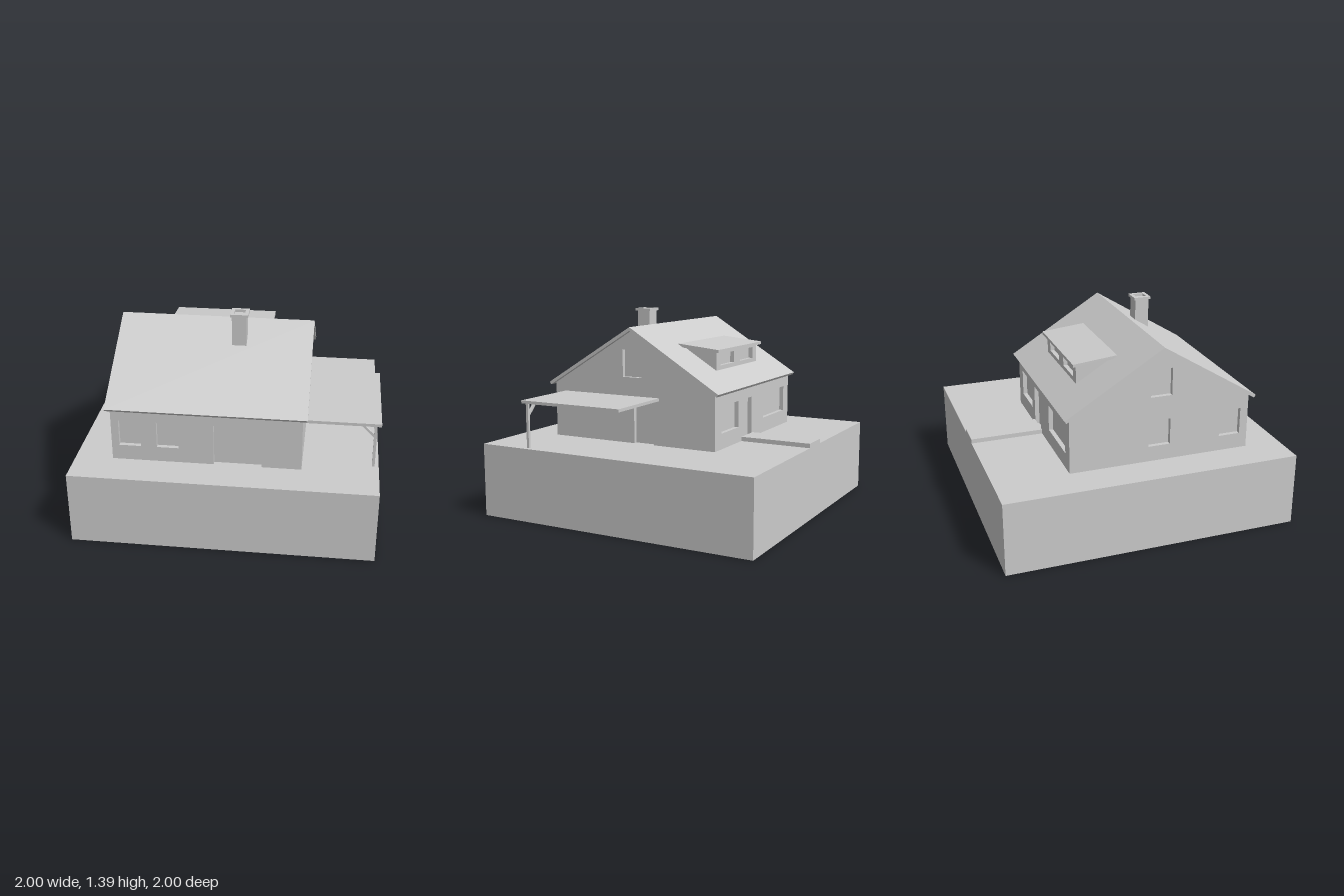
import * as THREE from 'three';

const grey = new THREE.MeshStandardMaterial({ color: 0xcccccc, flatShading: true, side: THREE.DoubleSide });
const GROUND = 0.5, EAVE = 0.879, PEAK = 1.265, RIDGE_Z = 0.125;
const SLOPE = 0.617, RECESS = 0.03;
const HOUSE = { x0: -0.75, x1: 0.5, z0: -0.5, z1: 0.75 };

function mesh(name, geometry) {
  const m = new THREE.Mesh(geometry, grey);
  m.name = name;
  return m;
}

// Box given by its limits
function block(name, x0, x1, y0, y1, z0, z1) {
  const g = new THREE.BoxGeometry(x1 - x0, y1 - y0, z1 - z0);
  g.translate((x0 + x1) / 2, (y0 + y1) / 2, (z0 + z1) / 2);
  return mesh(name, g);
}

// Box without some faces (order: +x, -x, +y, -y, +z, -z)
function openBox(w, h, d, dropped) {
  const g = new THREE.BoxGeometry(w, h, d);
  const index = Array.from(g.index.array).filter((_, i) => !dropped.includes(Math.floor(i / 6)));
  g.setIndex(index);
  g.clearGroups();
  return g;
}

function shapeOf(points) {
  return new THREE.Shape(points.map(([x, y]) => new THREE.Vector2(x, y)));
}

function rectPoints(x0, x1, y0, y1) {
  return [[x0, y0], [x1, y0], [x1, y1], [x0, y1]];
}

// Solid with a (z, y) profile, running along x
function alongX(name, profile, x0, x1) {
  const g = new THREE.ExtrudeGeometry(shapeOf(profile.map(([z, y]) => [-z, y])), { depth: x1 - x0, bevelEnabled: false });
  g.rotateY(Math.PI / 2);
  g.translate(x0, 0, 0);
  return mesh(name, g);
}

// Thin wall facing +z with recessed windows and an optional door cut from its foot.
// Openings are [u0, u1, y0, y1].
function wall(name, outline, windows, door) {
  const group = new THREE.Group();
  group.name = name;
  const points = [...outline];
  if (door) {
    const [a, b, y0, y1] = door;
    points.splice(1, 0, [a, y0], [a, y1], [b, y1], [b, y0]);
  }
  const shape = shapeOf(points);
  for (const w of windows) shape.holes.push(shapeOf(rectPoints(...w)));
  group.add(mesh('wallSheet', new THREE.ShapeGeometry(shape)));
  const recess = (label, [a, b, y0, y1]) => {
    const m = mesh(label, openBox(b - a, y1 - y0, RECESS, [4]));
    m.position.set((a + b) / 2, (y0 + y1) / 2, -RECESS / 2);
    group.add(m);
  };
  windows.forEach((w) => recess('window', w));
  if (door) recess('door', door);
  return group;
}

function place(object, x, z, turn) {
  object.position.set(x, 0, z);
  object.rotation.y = turn;
  return object;
}

function buildGround() {
  const group = new THREE.Group();
  group.name = 'ground';
  const sides = mesh('groundSides', openBox(2, GROUND, 2, [2, 3]));
  sides.position.y = GROUND / 2;
  // Top surface, open under the house
  const top = shapeOf(rectPoints(-1, 1, -1, 1));
  top.holes.push(shapeOf(rectPoints(HOUSE.x0, HOUSE.x1, -HOUSE.z1, -HOUSE.z0)));
  const lawn = mesh('lawn', new THREE.ShapeGeometry(top));
  lawn.rotation.x = -Math.PI / 2;
  lawn.position.y = GROUND;
  group.add(sides, lawn, block('path', -0.1, 0.09, GROUND, 0.53, -1, HOUSE.z0));
  return group;
}

function buildWalls() {
  const { x0, x1, z0, z1 } = HOUSE;
  const group = new THREE.Group();
  group.name = 'walls';
  const low = [0.605, 0.787], high = [0.95, 1.137];
  const gable = (a, b, mid) => [[a, GROUND], [b, GROUND], [b, EAVE], [mid, PEAK], [a, EAVE]];
  group.add(
    place(wall('frontWall', rectPoints(x0, x1, GROUND, EAVE),
      [[-0.7, -0.555, ...low], [-0.45, -0.305, ...low]],
      [-0.075, 0.24, GROUND, 0.787]), 0, z1, 0),
    place(wall('backWall', rectPoints(-x1, -x0, GROUND, EAVE),
      [[-0.405, -0.14, ...low], [0.28, 0.66, ...low]],
      [-0.077, 0.077, GROUND, 0.787]), 0, z0, Math.PI),
    place(wall('carportSideWall', gable(-z1, -z0, -RIDGE_Z),
      [[-0.197, -0.05, ...high]],
      [-0.11, 0.042, GROUND, 0.757]), x1, 0, Math.PI / 2),
    place(wall('farSideWall', gable(z0, z1, RIDGE_Z),
      [[0.05, 0.197, ...high], [0.04, 0.19, ...low], [0.545, 0.695, ...low]]), x0, 0, -Math.PI / 2),
  );
  return group;
}

// Gabled roof slab with square-cut eaves
function buildRoof() {
  const top = PEAK + 0.025, out = 0.662, under = 0.649;
  return alongX('roof', [
    [RIDGE_Z - out, top - SLOPE * out], [RIDGE_Z, top], [RIDGE_Z + out, top - SLOPE * out],
    [RIDGE_Z + under, PEAK - SLOPE * under], [RIDGE_Z, PEAK], [RIDGE_Z - under, PEAK - SLOPE * under],
  ], -0.78, 0.53);
}

function buildDormer() {
  const group = new THREE.Group();
  group.name = 'dormer';
  const x0 = -0.46, x1 = 0.2, zFace = -0.36;
  const face = wall('dormerFace', rectPoints(-x1, -x0, 0.98, 1.118),
    [[-0.135, 0.08, 1.02, 1.1], [0.18, 0.395, 1.02, 1.1]]);
  group.add(place(face, 0, zFace, Math.PI));
  // Triangular side cheeks
  for (const x of [x0, x1]) {
    const cheek = mesh('dormerCheek', new THREE.ShapeGeometry(
      shapeOf([[-zFace, 0.98], [-zFace, 1.118], [0.105, 1.14]])));
    group.add(place(cheek, x, 0, Math.PI / 2));
  }
  group.add(alongX('dormerRoof',
    [[-0.388, 1.115], [-0.388, 1.135], [-0.085, 1.165], [-0.085, 1.155], [-0.11, 1.14]], -0.487, 0.23));
  return group;
}

function buildChimney() {
  const group = new THREE.Group();
  group.name = 'chimney';
  const cx = 0.043, cz = 0.273, r = 0.049, capTop = 1.39, capBase = 1.372;
  const roofAt = (z) => PEAK + 0.01 - SLOPE * (z - RIDGE_Z);
  group.add(alongX('chimneyStack',
    [[cz - r, roofAt(cz - r)], [cz + r, roofAt(cz + r)], [cz + r, capBase], [cz - r, capBase]], cx - r, cx + r));
  // Cap ring around the flue
  const ring = shapeOf(rectPoints(-0.06, 0.06, -0.06, 0.06));
  ring.holes.push(shapeOf(rectPoints(-0.036, 0.036, -0.036, 0.036)));
  const cap = mesh('chimneyCap', new THREE.ExtrudeGeometry(ring, { depth: capTop - capBase, bevelEnabled: false }));
  cap.rotation.x = -Math.PI / 2;
  cap.position.set(cx, capBase, cz);
  group.add(cap);
  return group;
}

function buildCarport() {
  const group = new THREE.Group();
  group.name = 'carport';
  group.add(block('carportRoof', HOUSE.x1, 1, 0.803, 0.823, -0.083, 0.67));
  group.add(block('carportPost', 0.955, 0.973, GROUND, 0.803, 0.638, 0.655));
  // Diagonal brace from post to roof
  const brace = mesh('carportBrace', new THREE.ExtrudeGeometry(
    shapeOf([[0.955, 0.715], [0.955, 0.738], [0.89, 0.803], [0.867, 0.803]]), { depth: 0.017, bevelEnabled: false }));
  brace.position.z = 0.638;
  group.add(brace);
  return group;
}

export function createModel() {
  const model = new THREE.Group();
  model.name = 'house';
  model.add(buildGround(), buildWalls(), buildRoof(), buildDormer(), buildChimney(), buildCarport());
  return model;
}
